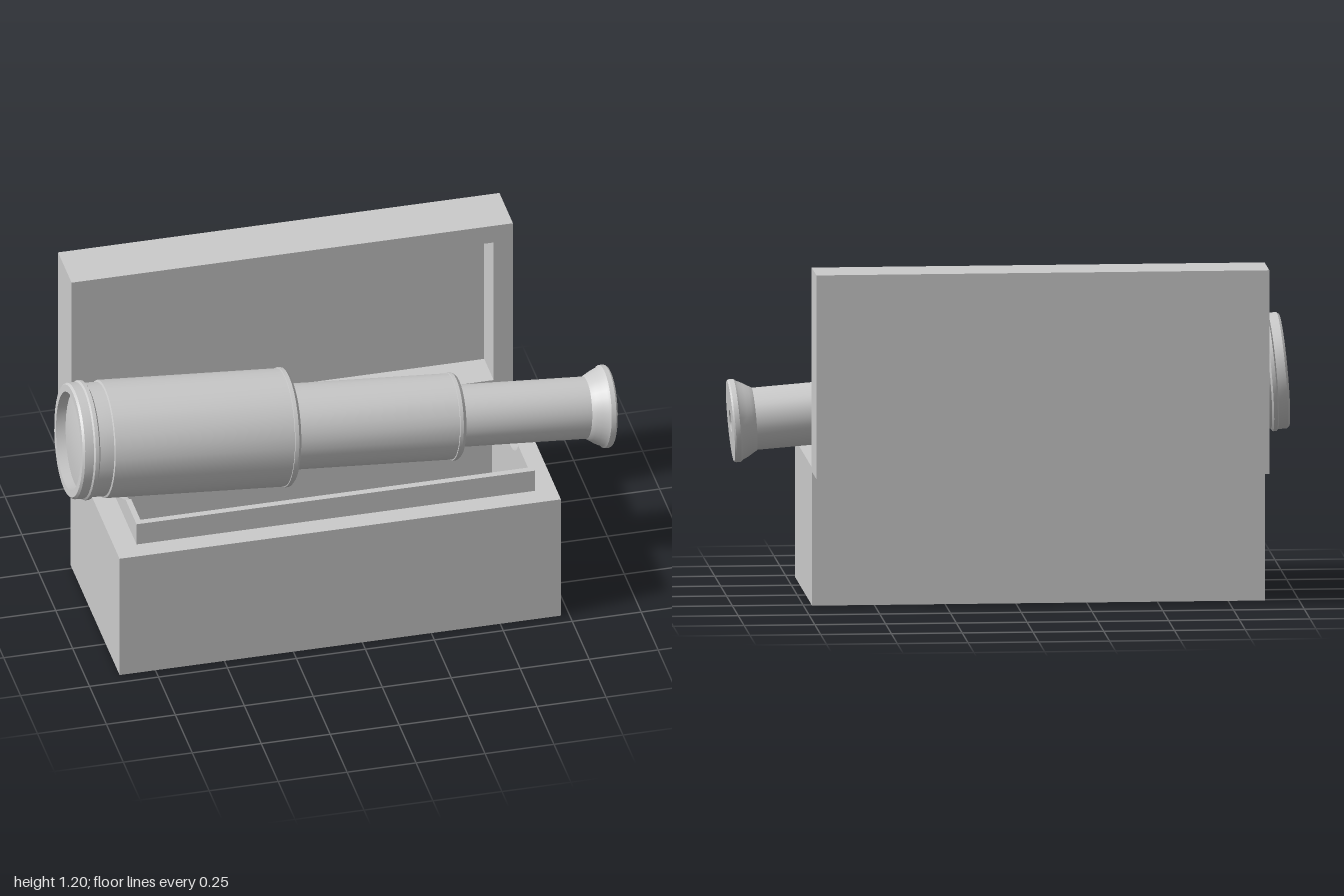
import * as THREE from 'three';
import { toCreasedNormals } from 'three/addons/utils/BufferGeometryUtils.js';

const material = new THREE.MeshStandardMaterial({ color: 0xcccccc });

function add(parent, name, geometry, x = 0, y = 0, z = 0) {
  const mesh = new THREE.Mesh(geometry, material);
  mesh.name = name;
  mesh.position.set(x, y, z);
  parent.add(mesh);
  return mesh;
}

// Box given by its lower and upper corners
function block(parent, name, a, b) {
  const size = b.map((v, i) => v - a[i]);
  return add(parent, name, new THREE.BoxGeometry(...size), ...a.map((v, i) => (v + b[i]) / 2));
}

// Rectangular frame: outer and inner are [x0, y0, x1, y1]
function frame(outer, inner, depth) {
  const corners = ([x0, y0, x1, y1]) => [[x0, y0], [x1, y0], [x1, y1], [x0, y1]].map(p => new THREE.Vector2(...p));
  const shape = new THREE.Shape(corners(outer));
  shape.holes.push(new THREE.Path(corners(inner)));
  return new THREE.ExtrudeGeometry(shape, { depth, bevelEnabled: false });
}

// End wall of the rim with a round cradle cut into its top edge
function cradleWall(centreY, radius) {
  const top = 0.575, z = 0.09, drop = centreY - top;
  const half = Math.sqrt(radius * radius - drop * drop);
  const shape = new THREE.Shape();
  shape.moveTo(-0.195, 0.49);
  shape.lineTo(0.38, 0.49);
  shape.lineTo(0.38, top);
  shape.lineTo(z + half, top);
  shape.absarc(z, centreY, radius, Math.atan2(-drop, half), Math.atan2(-drop, -half), true);
  shape.lineTo(-0.195, top);
  return new THREE.ExtrudeGeometry(shape, { depth: 0.02, bevelEnabled: false, curveSegments: 16 }).rotateY(-Math.PI / 2);
}

// Turned part, profile as [radius, distance along the axis]
function turned(profile) {
  const geometry = new THREE.LatheGeometry(profile.map(p => new THREE.Vector2(...p)), 32);
  return toCreasedNormals(geometry, 0.5);
}

export function createModel() {
  const model = new THREE.Group();
  model.name = 'telescopeInBox';

  // Open box with a floor
  const base = new THREE.Group();
  base.name = 'box';
  model.add(base);
  const walls = frame([-0.88, -0.455, 0.72, 0.27], [-0.78, -0.355, 0.625, 0.175], 0.41).rotateX(-Math.PI / 2);
  add(base, 'boxWalls', walls, 0, 0.08, 0);
  block(base, 'boxFloor', [-0.88, 0, -0.27], [0.72, 0.08, 0.455]);

  // Thin raised rim
  block(base, 'rimFront', [-0.78, 0.49, 0.355], [0.625, 0.575, 0.38]);
  block(base, 'rimBack', [-0.78, 0.49, -0.195], [0.625, 0.575, -0.175]);
  add(base, 'rimRightEnd', cradleWall(0.754, 0.22), -0.78);
  add(base, 'rimLeftEnd', cradleWall(0.637, 0.135), 0.645);

  // Hollow lid standing upright behind the box
  const lid = new THREE.Group();
  lid.name = 'lid';
  model.add(lid);
  add(lid, 'lidWalls', frame([-0.88, 0.475, 0.72, 1.2], [-0.805, 0.55, 0.65, 1.13], 0.14), 0, 0, -0.395);
  block(lid, 'lidPanel', [-0.88, 0.475, -0.455], [0.72, 1.2, -0.395]);

  // Hinge barrels
  for (const x of [-0.55, 0.385]) {
    add(model, 'hinge', new THREE.CylinderGeometry(0.012, 0.012, 0.285, 12).rotateZ(Math.PI / 2), x, 0.488, -0.257);
  }

  // Telescope, built along its own axis and then tilted
  const telescope = new THREE.Group();
  telescope.name = 'telescope';
  telescope.position.set(-0.976, 0.768, 0.09);
  telescope.rotation.z = -Math.PI / 2 - 0.081;
  model.add(telescope);

  add(telescope, 'frontLens', turned([[0, 0.02], [0.09, 0.024], [0.175, 0.035]]));
  add(telescope, 'mainBarrel', turned([
    [0.175, 0.035], [0.175, 0], [0.2, 0], [0.206, 0.008], [0.206, 0.04],
    [0.212, 0.045], [0.212, 0.058], [0.202, 0.064], [0.202, 0.115],
    [0.209, 0.118], [0.209, 0.77], [0.212, 0.771], [0.212, 0.785], [0.202, 0.795], [0.15, 0.795],
  ]));
  add(telescope, 'middleTube', turned([
    [0.152, 0.78], [0.152, 1.385], [0.156, 1.386], [0.156, 1.398], [0.146, 1.41], [0.108, 1.41],
  ]));
  add(telescope, 'smallTube', turned([[0.11, 1.4], [0.11, 1.88]]));
  add(telescope, 'eyepiece', turned([
    [0.108, 1.875], [0.113, 1.88], [0.12, 1.892], [0.131, 1.91], [0.14, 1.93],
    [0.147, 1.938], [0.147, 1.955], [0.143, 1.961], [0.04, 1.961], [0.04, 1.945],
  ]));
  add(telescope, 'eyeLens', turned([[0.04, 1.945], [0.022, 1.951], [0, 1.953]]));

  return model;
}
